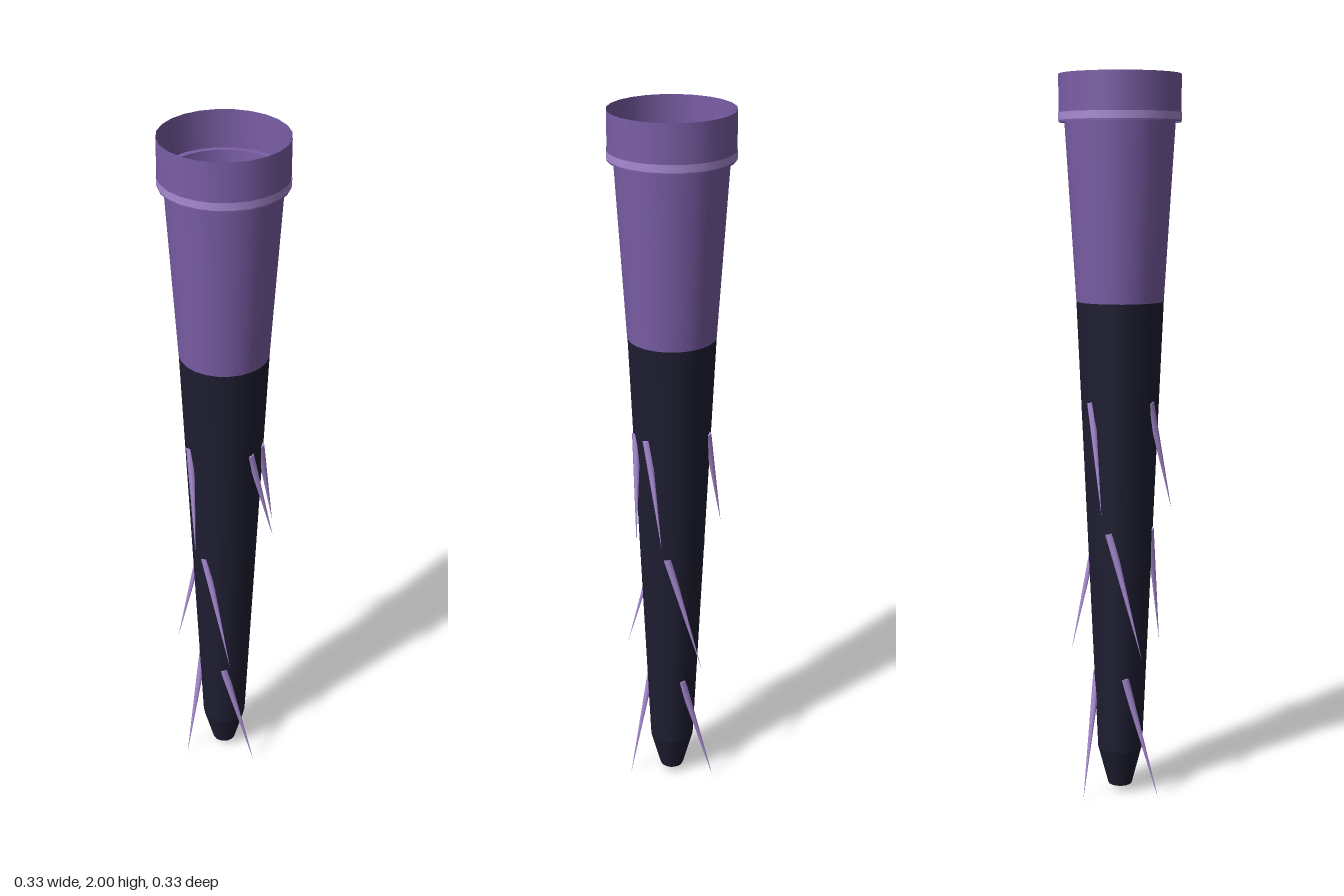
import * as THREE from 'three';

const mat = (name, color, opts = {}) => {
  const m = new THREE.MeshStandardMaterial({ color, side: THREE.DoubleSide, ...opts });
  m.name = name;
  return m;
};

export function createModel() {
  const group = new THREE.Group();
  const purple = mat('purple', 0x7b5ea7);
  const dark = mat('dark navy', 0x1e1e32);
  const lavender = mat('lavender', 0xa98bd4);

  const add = (name, geometry, material) => {
    const mesh = new THREE.Mesh(geometry, material);
    mesh.name = name;
    group.add(mesh);
    return mesh;
  };
  // Open tapered tube between two heights
  const tube = (name, rTop, rBottom, yTop, yBottom, sides, material) => {
    const g = new THREE.CylinderGeometry(rTop, rBottom, yTop - yBottom, sides, 1, true);
    return add(name, g.translate(0, (yTop + yBottom) / 2, 0), material);
  };

  // Hollow sleeve and flared collar
  tube('upperSleeve', 0.15, 0.119, 1.9, 1.4, 24, purple);
  tube('collar', 0.164, 0.164, 2, 1.875, 24, purple);
  const ledge = new THREE.RingGeometry(0.149, 0.164, 24).rotateX(-Math.PI / 2).translate(0, 1.9, 0);
  add('collarLedge', ledge, purple);
  tube('collarBand', 0.1655, 0.1655, 1.9, 1.88, 24, lavender);

  // Long dark shaft with a blunt closed tip
  tube('shaft', 0.119, 0.063, 1.4, 0.13, 16, dark);
  tube('shaftTip', 0.063, 0.034, 0.13, 0.02, 16, dark);
  const cap = new THREE.CircleGeometry(0.034, 16).rotateX(Math.PI / 2).translate(0, 0.02, 0);
  add('shaftCap', cap, dark);

  // Thorns in three tiers, each leaning outwards and sweeping round the shaft
  const polar = (deg, r, y) => {
    const a = THREE.MathUtils.degToRad(deg);
    return new THREE.Vector3(r * Math.cos(a), y, r * Math.sin(a));
  };
  const tiers = [
    { top: 1.13, tip: 0.83, rTop: 0.1, rTip: 0.142, sweep: 31, angles: [-8, -40, 205, 100] },
    { top: 0.77, tip: 0.42, rTop: 0.084, rTip: 0.137, sweep: 47, angles: [59, 158, 270] },
    { top: 0.35, tip: 0, rTop: 0.065, rTip: 0.129, sweep: 45, angles: [22, 128, 238] },
  ];
  const up = new THREE.Vector3(0, 1, 0);
  for (const t of tiers) {
    for (const angle of t.angles) {
      const base = polar(angle + t.sweep, t.rTop, t.top);
      const tip = polar(angle, t.rTip, t.tip);
      const dir = tip.clone().sub(base);
      const thorn = add('thorn', new THREE.ConeGeometry(0.012, dir.length(), 6), lavender);
      thorn.position.copy(base).add(tip).multiplyScalar(0.5);
      thorn.quaternion.setFromUnitVectors(up, dir.normalize());
    }
  }
  return group;
}
